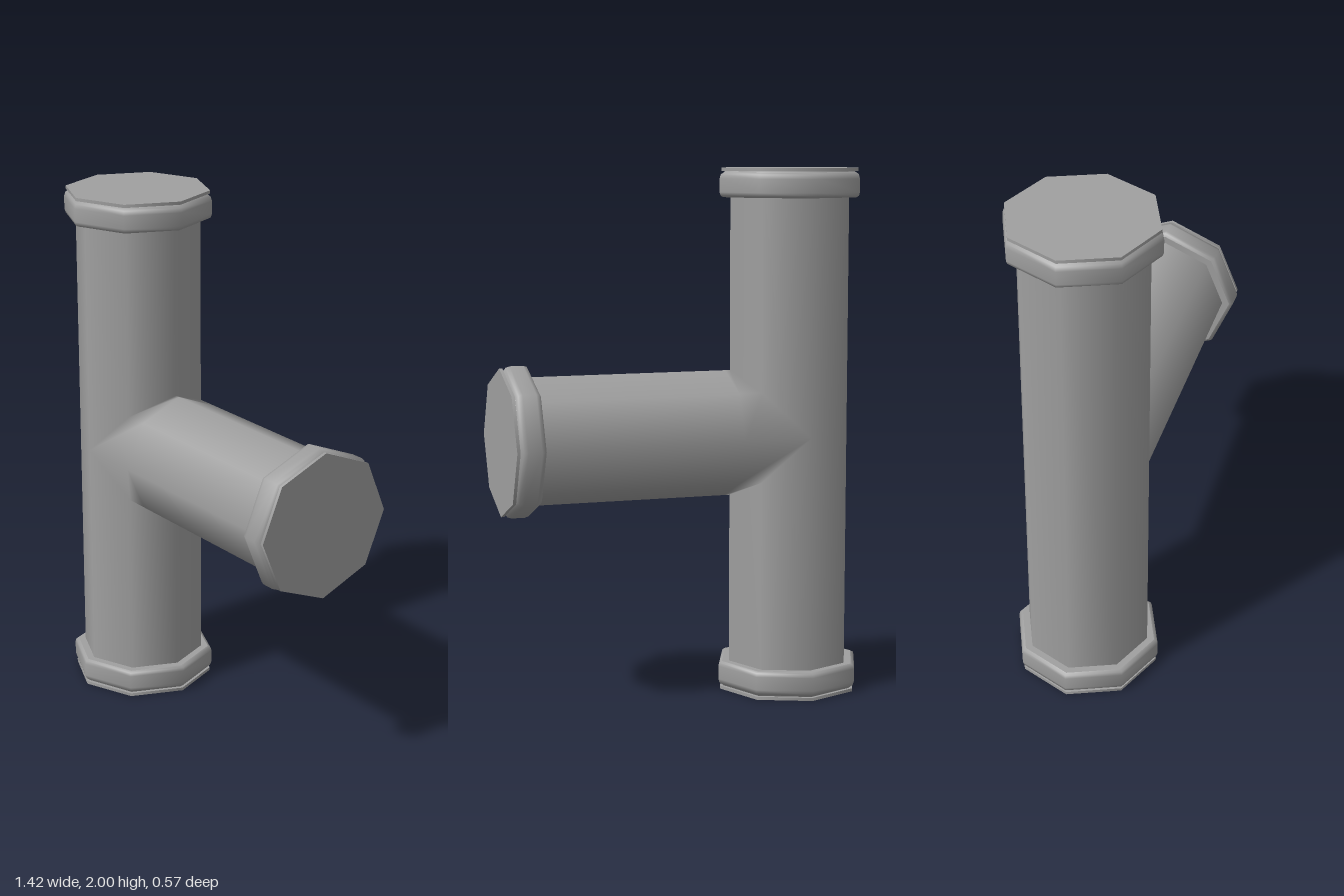
import * as THREE from 'three';

const SIDES = 8, PIPE_R = 0.24, CENTRE_X = -0.428, MID_Y = 1;
const material = new THREE.MeshStandardMaterial({ color: 0xa0a0a0 });

// eight-sided turned part around y; points are [radius, height], bottom to top
function turned(name, points) {
  const profile = points.map(([r, y]) => new THREE.Vector2(r, y));
  const mesh = new THREE.Mesh(new THREE.LatheGeometry(profile, SIDES), material);
  mesh.name = name;
  return mesh;
}

// rounded collar and closing plate; the plate's outer face lies at y = 0
function createEnd(name) {
  const end = new THREE.Group();
  end.name = name;
  end.add(
    turned('collarShoulder', [[PIPE_R - 0.01, -0.109], [0.268, -0.109]]),
    turned('collar', [[0.268, -0.109], [0.279, -0.103], [0.283, -0.09],
      [0.283, -0.04], [0.278, -0.024], [0.264, -0.015]]),
    turned('groove', [[0.264, -0.015], [0.262, -0.012]]),
    turned('plateUnderside', [[0.255, -0.012], [0.276, -0.012]]),
    turned('plateRim', [[0.276, -0.012], [0.276, 0]]),
  );
  // flat closing face with corners on the axes
  const face = new THREE.Mesh(new THREE.CircleGeometry(0.276, SIDES), material);
  face.name = 'plateFace';
  face.rotation.x = -Math.PI / 2;
  end.add(face);
  return end;
}

export function createModel() {
  const model = new THREE.Group();
  model.name = 'pipeTee';

  // upright pipe with an end at top and bottom
  const main = new THREE.Group();
  main.name = 'mainPipe';
  main.position.x = CENTRE_X;
  main.add(turned('mainTube', [[PIPE_R, 0.05], [PIPE_R, 1.95]]));
  const top = createEnd('topEnd');
  top.position.y = 2;
  const bottom = createEnd('bottomEnd');
  bottom.rotation.x = Math.PI;
  main.add(top, bottom);

  // side branch, built upright and laid over towards +x
  const length = 0.705 - CENTRE_X;
  const branch = new THREE.Group();
  branch.name = 'branchPipe';
  branch.position.set(CENTRE_X, MID_Y, 0);
  branch.rotation.z = -Math.PI / 2;
  const tube = turned('branchTube', [[PIPE_R, 0], [PIPE_R, 0.26], [PIPE_R, length - 0.05]]);
  // mitre the inner rim to meet the upright pipe, and take over that pipe's
  // normals there so the shading flows softly across the joint
  const { position, normal } = tube.geometry.attributes;
  for (let i = 0; i < position.count; i++) {
    if (position.getY(i) > 0.01) continue;
    const reach = Math.abs(position.getX(i));
    position.setY(i, reach);
    normal.setXYZ(i, 0, reach / PIPE_R, position.getZ(i) / PIPE_R);
  }
  const branchEnd = createEnd('branchEnd');
  branchEnd.position.y = length;
  branch.add(tube, branchEnd);

  model.add(main, branch);
  return model;
}
